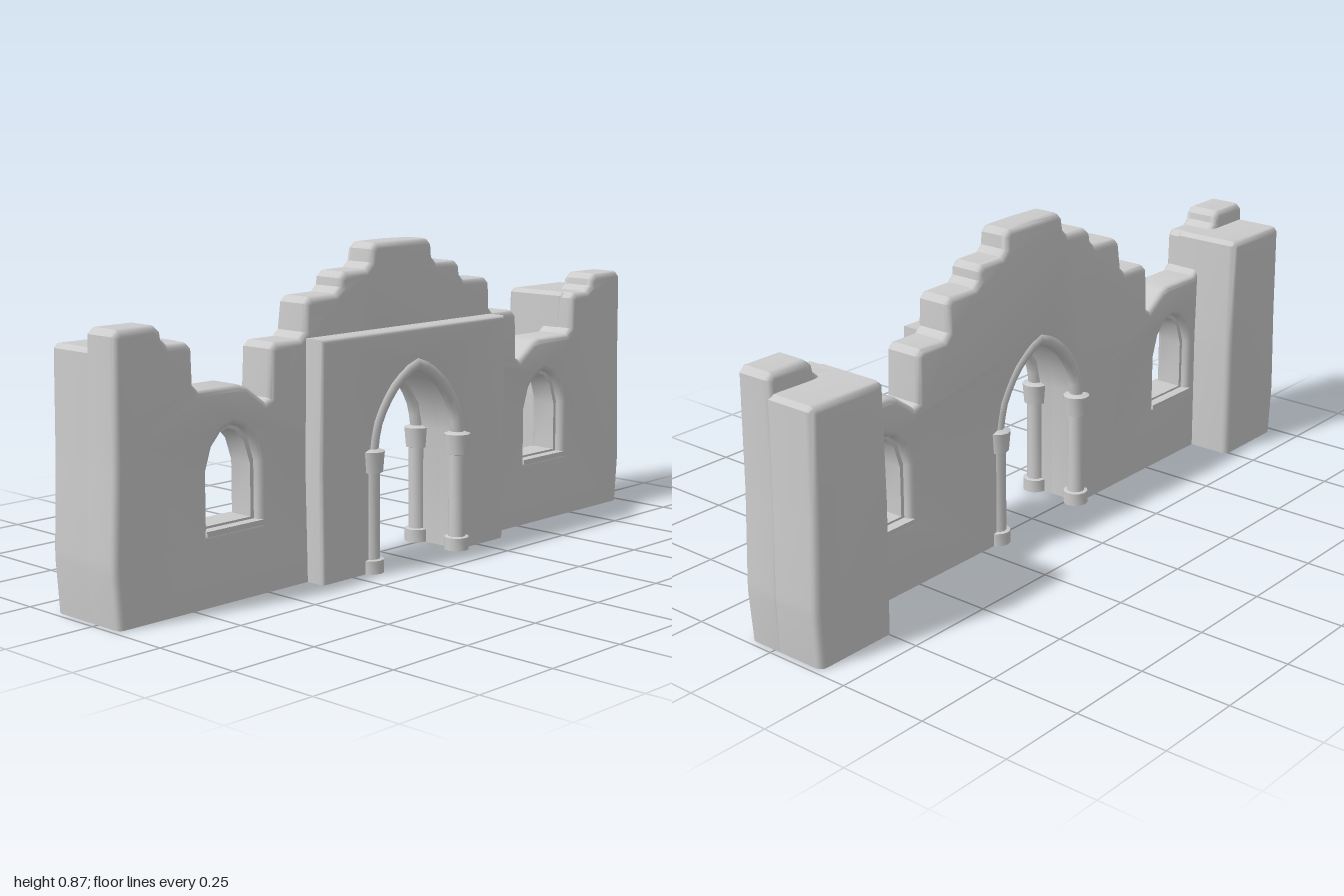
import * as THREE from 'three';
import { toCreasedNormals } from 'three/addons/utils/BufferGeometryUtils.js';

const stone = new THREE.MeshStandardMaterial({ color: 0xcccccc, side: THREE.DoubleSide });
const V2 = (x, y) => new THREE.Vector2(x, y);
const mirror = pts => pts.map(p => V2(-p.x, p.y)).reverse();

// Pointed door arch, left springing over the apex to the right
const archHalf = [[-0.172, 0.33], [-0.156, 0.4], [-0.1, 0.482], [-0.045, 0.523]].map(p => V2(...p));
const arch = [...archHalf, V2(0, 0.542), ...mirror(archHalf)];
const doorway = [V2(-0.172, -0.06), ...arch, V2(0.172, -0.06)];

function add(group, name, geometry, x = 0, y = 0, z = 0) {
  const mesh = new THREE.Mesh(geometry, stone);
  mesh.name = name;
  mesh.position.set(x, y, z);
  group.add(mesh);
  return mesh;
}

// Replace each corner of an open line with a worn chamfer
function wear(pts, cut = 0.016) {
  const out = [];
  pts.forEach((p, i) => {
    if (i === 0 || i === pts.length - 1) return out.push(p);
    for (const q of [pts[i - 1], pts[i + 1]]) {
      out.push(p.clone().add(q.clone().sub(p).setLength(cut)));
    }
  });
  return out;
}

// Soft-edged slab from z0 to z1, cut flat at the ground, thinner at the back near its top
function slab(points, holes, z0, z1, bevel, taper = 0) {
  const shape = new THREE.Shape(points);
  shape.holes = holes.map(h => new THREE.Path(h));
  const geo = new THREE.ExtrudeGeometry(shape, {
    depth: z1 - z0 - 2 * bevel, bevelEnabled: bevel > 0, bevelThickness: bevel,
    bevelSize: bevel, bevelOffset: -bevel, bevelSegments: 3, curveSegments: 8,
  });
  geo.translate(0, 0, z0 + bevel);
  const pos = geo.attributes.position;
  for (let i = 0; i < pos.count; i++) {
    const y = Math.max(0, pos.getY(i)), z = pos.getZ(i);
    pos.setY(i, y);
    if (z < 0.02) pos.setZ(i, z + taper * Math.max(0, y - 0.6));
  }
  return toCreasedNormals(geo, 0.7);
}

// Pointed window outline, grown by d
function windowOutline(cx, d) {
  const half = [[0.086, 0.19], [0.086, 0.345], [0.066, 0.405], [0.036, 0.437]]
    .map(([x, y], i) => V2(x + d, i === 0 ? y - d : y + d * 0.6));
  return [...half, V2(0, 0.45 + d), ...mirror(half)].map(p => V2(p.x + cx, p.y));
}

export function createModel() {
  const model = new THREE.Group();
  model.name = 'ruinedGateway';

  // Main wall with a stepped, broken top
  const skyline = wear([
    [0.172, -0.06], [0.983, -0.06], [0.996, 0.15], [0.985, 0.4], [0.982, 0.718], [0.84, 0.718],
    [0.832, 0.668], [0.742, 0.668], [0.738, 0.547], [0.575, 0.547], [0.49, 0.485],
    [0.484, 0.64], [0.367, 0.64], [0.362, 0.744], [0.238, 0.746], [0.234, 0.8],
    [0.124, 0.802], [0.118, 0.868], [0, 0.87],
  ].map(p => V2(...p)));
  const wallOutline = [...skyline, ...mirror(skyline).slice(1), ...doorway.slice(1, -1)];
  add(model, 'wall', slab(wallOutline, [-0.615, 0.615].map(x => windowOutline(x, 0)), -0.033, 0.083, 0.016, 0.09));

  // Projecting porch around the doorway
  const porchSide = [V2(0.172, -0.06), V2(0.362, -0.06), V2(0.368, 0.3), V2(0.362, 0.64)];
  const porchOutline = [...porchSide, ...mirror(porchSide), ...doorway.slice(1, -1)];
  add(model, 'porch', slab(porchOutline, [], 0.03, 0.14, 0.01));

  // Column turned from one profile: base, shaft, capital
  const columnGeo = toCreasedNormals(new THREE.LatheGeometry([
    [0, 0], [0.035, 0], [0.035, 0.036], [0.024, 0.038], [0.024, 0.27],
    [0.032, 0.272], [0.037, 0.328], [0.02, 0.334], [0, 0.334],
  ].map(p => V2(...p)), 12), 0.6);

  // Columns and moulded arch on both faces
  const archCurve = new THREE.CatmullRomCurve3(arch.map(p => new THREE.Vector3(p.x, p.y, 0)));
  for (const [face, z] of [['front', 0.13], ['back', -0.02]]) {
    for (const s of [-1, 1]) add(model, face + 'Column', columnGeo, s * 0.172, 0, z);
    add(model, face + 'Arch', new THREE.TubeGeometry(archCurve, 16, 0.019, 8), 0, 0, z);
  }

  for (const s of [-1, 1]) {
    // Rear buttress at each end
    const side = wear([[0.737, -0.06], [0.983, -0.06], [0.994, 0.15], [0.984, 0.4], [0.98, 0.668],
      [0.74, 0.668], [0.733, 0.35], [0.737, -0.05]].map(p => V2(...p)), 0.012);
    const outline = s > 0 ? side : mirror(side);
    add(model, 'buttress', slab(outline, [], -0.16, 0.05, 0.018));

    // Recessed window frame and sill
    const frame = slab(windowOutline(s * 0.615, 0.004), [windowOutline(s * 0.615, -0.011)], -0.01, 0.06, 0);
    add(model, 'windowFrame', frame);
    add(model, 'windowSill', new THREE.BoxGeometry(0.19, 0.014, 0.126), s * 0.615, 0.188, 0.025);
  }
  return model;
}
